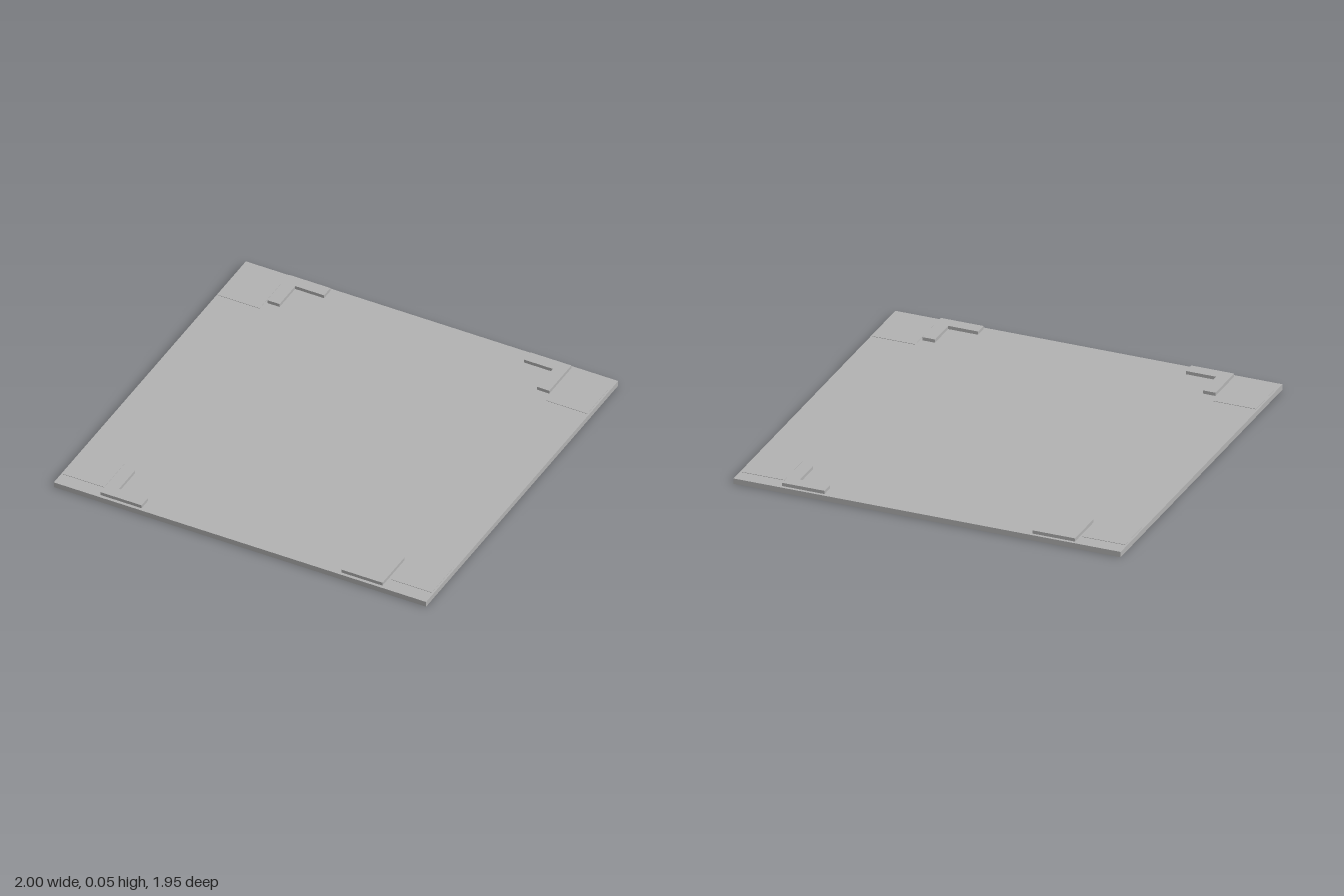
import * as THREE from 'three';

const PLATE_H = 0.028;
const BRACKET_H = 0.017;

export function createModel() {
  const model = new THREE.Group();
  model.name = 'basePlateWithBrackets';
  const grey = new THREE.MeshStandardMaterial({ color: 0xb4b4b4 });
  grey.name = 'plain grey';

  const add = (name, geometry, x, y, z) => {
    const mesh = new THREE.Mesh(geometry, grey);
    mesh.name = name;
    mesh.position.set(x, y, z);
    model.add(mesh);
  };

  // Flat base plate
  add('basePlate', new THREE.BoxGeometry(2, PLATE_H, 1.953), 0, PLATE_H / 2, 0);

  // L-shaped locating brackets and faint flush pads, one of each per corner
  const outerX = 0.757, innerX = 0.537, outerZ = 0.96, innerZ = 0.736, bar = 0.065;
  for (const sx of [-1, 1]) {
    for (const sz of [-1, 1]) {
      const shape = new THREE.Shape([
        [outerX, outerZ], [innerX, outerZ], [innerX, outerZ - bar],
        [outerX - bar, outerZ - bar], [outerX - bar, innerZ], [outerX, innerZ],
      ].map(([x, z]) => new THREE.Vector2(sx * x, -sz * z)));
      const bracket = new THREE.ExtrudeGeometry(shape, { depth: BRACKET_H, bevelEnabled: false });
      bracket.rotateX(-Math.PI / 2);
      add('cornerBracket', bracket, 0, PLATE_H, 0);

      add('cornerPad', new THREE.BoxGeometry(0.22, 0.002, 0.22), sx * 0.88, PLATE_H + 0.001, sz * 0.79);
    }
  }
  return model;
}
